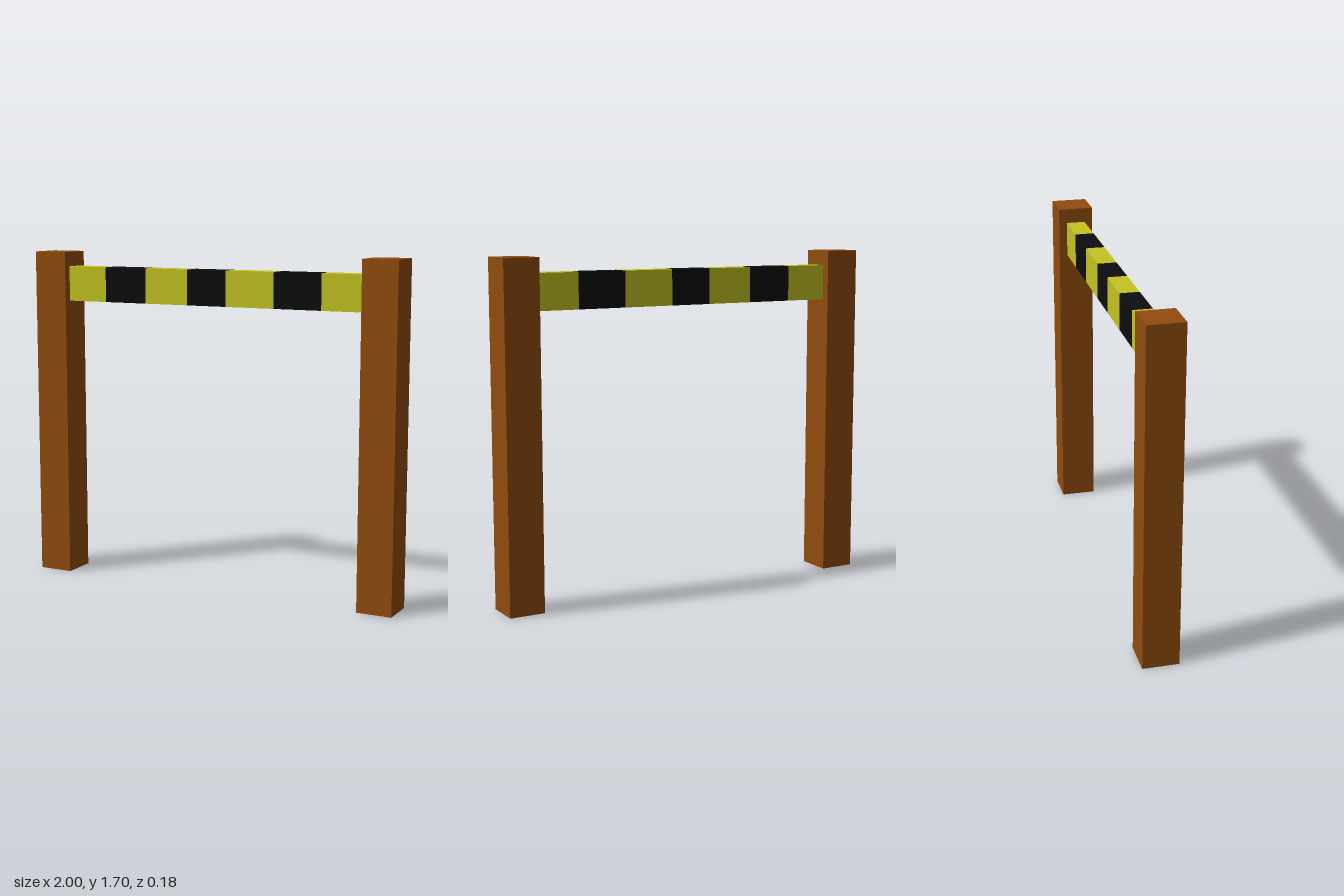
import * as THREE from 'three';

const material = (color) => new THREE.MeshStandardMaterial({ color });

function box(name, x0, x1, y0, y1, depth, mat) {
  const mesh = new THREE.Mesh(new THREE.BoxGeometry(x1 - x0, y1 - y0, depth), mat);
  mesh.position.set((x0 + x1) / 2, (y0 + y1) / 2, 0);
  mesh.name = name;
  return mesh;
}

export function createModel() {
  const model = new THREE.Group();
  model.name = 'heightBarrier';

  const wood = material(0x914c0e);
  const yellow = material(0xc4c421);
  const black = material(0x0d0d0d);

  // Square wooden posts
  model.add(box('leftPost', 0.82, 1, 0, 1.7, 0.18, wood));
  model.add(box('rightPost', -1, -0.82, 0, 1.7, 0.18, wood));

  // Crossbar of alternating stripes between the posts
  const crossbar = new THREE.Group();
  crossbar.name = 'crossbar';
  const edges = [-0.82, -0.6, -0.365, -0.125, 0.09, 0.35, 0.6, 0.82];
  for (let i = 0; i < edges.length - 1; i++) {
    const dark = i % 2 === 1;
    crossbar.add(box(dark ? 'blackStripe' : 'yellowStripe',
      edges[i], edges[i + 1], 1.447, 1.625, 0.096, dark ? black : yellow));
  }
  model.add(crossbar);

  return model;
}
